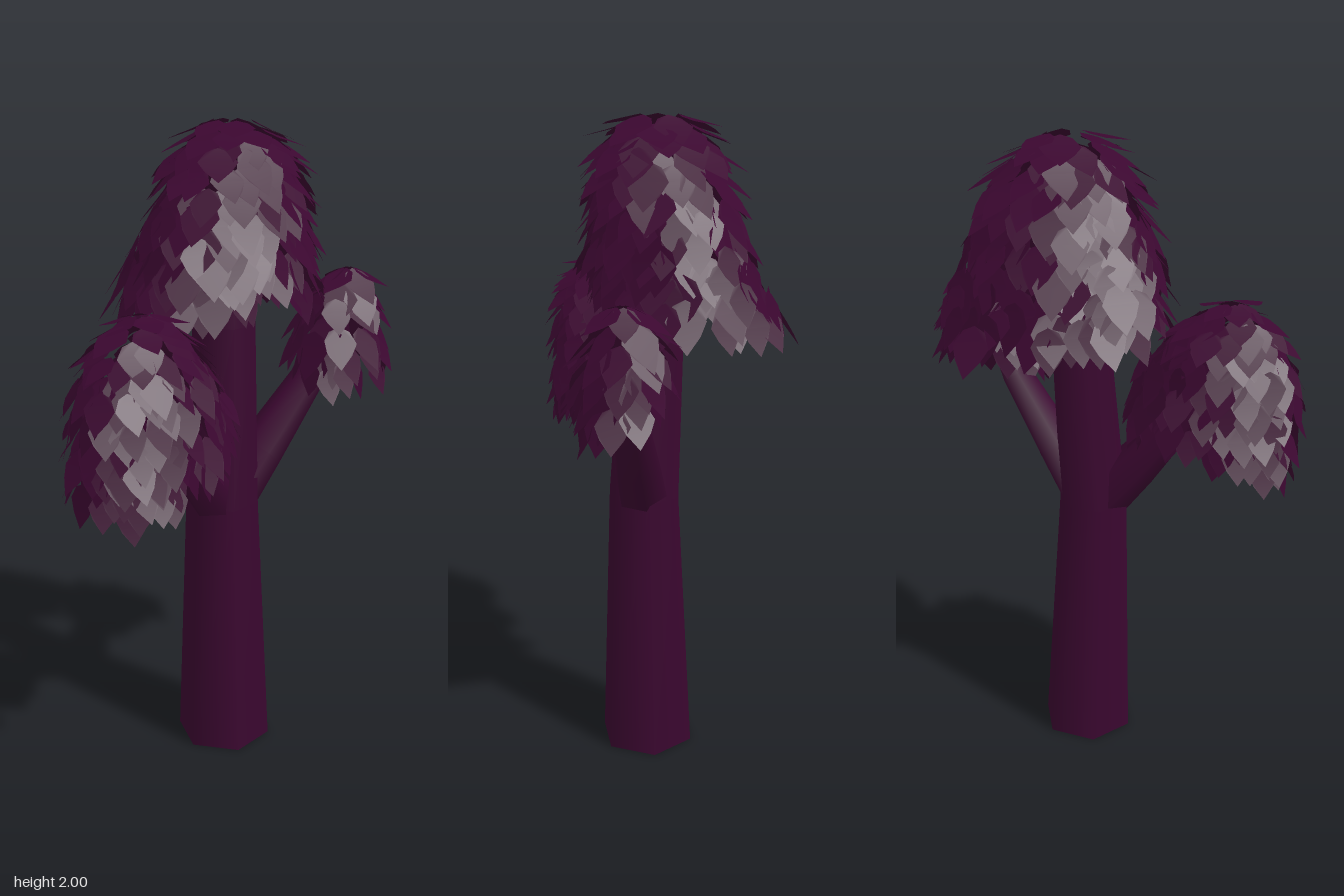
import * as THREE from 'three';
import { mergeGeometries } from 'three/addons/utils/BufferGeometryUtils.js';

const UP = new THREE.Vector3(0, 1, 0);
const COLOR = 0x3b0730;

// Small seeded random in -1..1
let seed = 7;
function rnd() {
  seed = (seed * 16807) % 2147483647;
  return (seed / 2147483647) * 2 - 1;
}

// Tapered six-sided limb through points [x, y, z, radius]
function limb(name, points, upright, material) {
  const n = points.length - 1;
  const geo = new THREE.CylinderGeometry(1, 1, n, 6, n, false, Math.PI / 2);
  const centres = points.map(p => new THREE.Vector3(p[0], p[1], p[2]));
  const turns = centres.map((c, i) => {
    const dir = centres[Math.min(i + 1, n)].clone().sub(centres[Math.max(i - 1, 0)]).normalize();
    return new THREE.Quaternion().setFromUnitVectors(UP, upright ? UP : dir);
  });
  const { position, normal } = geo.attributes;
  const v = new THREE.Vector3();
  for (let i = 0; i < position.count; i++) {
    v.fromBufferAttribute(position, i);
    const k = Math.round(v.y + n / 2);
    v.set(v.x, 0, v.z).multiplyScalar(points[k][3]).applyQuaternion(turns[k]).add(centres[k]);
    position.setXYZ(i, v.x, v.y, v.z);
    v.fromBufferAttribute(normal, i).applyQuaternion(turns[k]);
    normal.setXYZ(i, v.x, v.y, v.z);
  }
  const mesh = new THREE.Mesh(geo, material);
  mesh.name = name;
  return mesh;
}

// Pointed leaf of length 1 along +y, folded a little along its midrib
function leafGeometry() {
  const outline = [[0, 0], [0.22, 0.1], [0.37, 0.38], [0.25, 0.66], [0, 1],
    [-0.25, 0.66], [-0.37, 0.38], [-0.22, 0.1]];
  const geo = new THREE.ShapeGeometry(new THREE.Shape(outline.map(p => new THREE.Vector2(...p))));
  const pos = geo.attributes.position;
  for (let i = 0; i < pos.count; i++) {
    pos.setZ(i, -0.12 * Math.abs(pos.getX(i)) - 0.08 * pos.getY(i) ** 2);
  }
  geo.computeVertexNormals();
  return geo;
}

// Dome of drooping leaves laid in overlapping rings, squarer towards the bottom.
// Profile rows: [y, centre x, centre z, radius x, radius z, droop in degrees]
function canopy(name, { profile, rings, length, slopeX = 0, slopeZ = 0 }, material) {
  const leaf = leafGeometry();
  const leaves = [];
  const out = new THREE.Vector3(), dir = new THREE.Vector3();
  const normal = new THREE.Vector3(), side = new THREE.Vector3();
  const matrix = new THREE.Matrix4();
  for (let ring = 0; ring < rings; ring++) {
    const t = ring / (rings - 1);
    const squared = a => Math.sign(a) * Math.abs(a) ** (1 - 0.25 * t);
    const f = t * (profile.length - 1);
    const k = Math.min(Math.floor(f), profile.length - 2);
    const [y, cx, cz, rx, rz, droop] = profile[k].map((a, i) => THREE.MathUtils.lerp(a, profile[k + 1][i], f - k));
    const count = Math.max(6, Math.round(Math.PI * (rx + rz) / (length * 0.38)));
    for (let j = 0; j < count; j++) {
      const angle = (j + 0.5 * (ring % 2) + 0.3 * rnd()) / count * Math.PI * 2;
      const c = squared(Math.cos(angle)), s = squared(Math.sin(angle));
      const tilt = THREE.MathUtils.degToRad(droop + 11 * rnd());
      out.set(c / rx, 0, s / rz).normalize().applyAxisAngle(UP, 0.35 * rnd());
      dir.copy(out).multiplyScalar(Math.cos(tilt)).addScaledVector(UP, -Math.sin(tilt));
      normal.copy(out).multiplyScalar(Math.sin(tilt)).addScaledVector(UP, Math.cos(tilt));
      side.crossVectors(dir, normal);
      const spread = 1 + 0.07 * rnd();
      const dx = c * rx * spread, dz = s * rz * spread;
      matrix.makeBasis(side, dir, normal);
      matrix.scale(new THREE.Vector3(1, 1, 1).multiplyScalar(length * (1 + 0.15 * rnd())));
      matrix.setPosition(cx + dx, y + t * (slopeX * dx + slopeZ * dz + 0.025 * rnd()), cz + dz);
      leaves.push(leaf.clone().applyMatrix4(matrix));
    }
  }
  const mesh = new THREE.Mesh(mergeGeometries(leaves), material);
  mesh.name = name;
  return mesh;
}

export function createModel() {
  const tree = new THREE.Group();
  tree.name = 'tree';
  const bark = new THREE.MeshStandardMaterial({ color: COLOR });
  const foliage = new THREE.MeshStandardMaterial({ color: COLOR, side: THREE.DoubleSide });

  // Trunk and its two branches
  tree.add(
    limb('trunk', [[0.045, 0, 0.066, 0.152], [0.025, 0.84, 0.07, 0.115],
      [0.057, 1.4, 0.045, 0.098], [0.065, 1.62, 0.03, 0.085]], true, bark),
    limb('leftBranch', [[0.04, 0.83, 0.075, 0.085], [0.16, 0.98, 0.11, 0.075],
      [0.33, 1.19, 0.16, 0.055], [0.48, 1.48, 0.2, 0.03]], false, bark),
    limb('rightBranch', [[0.01, 0.83, 0.075, 0.085], [-0.11, 0.97, 0.085, 0.075],
      [-0.25, 1.14, 0.11, 0.055], [-0.37, 1.36, 0.14, 0.03]], false, bark),
  );

  // Main crown
  tree.add(canopy('crownLeaves', {
    rings: 12, length: 0.145, slopeX: -0.04, slopeZ: 0.1,
    profile: [
      [1.995, 0.1, 0.035, 0.05, 0.06, 14],
      [1.93, 0.1, 0.035, 0.14, 0.125, 36],
      [1.8, 0.1, 0.025, 0.215, 0.16, 52],
      [1.65, 0.105, 0, 0.27, 0.195, 60],
      [1.53, 0.115, -0.04, 0.29, 0.225, 63],
    ],
  }, foliage));

  // Small canopy on the left branch, open towards the back
  tree.add(canopy('leftLeaves', {
    rings: 6, length: 0.14, slopeZ: -0.7,
    profile: [
      [1.53, 0.48, 0.2, 0.015, 0.015, 30],
      [1.47, 0.47, 0.2, 0.08, 0.06, 46],
      [1.38, 0.44, 0.2, 0.13, 0.09, 60],
      [1.31, 0.43, 0.2, 0.145, 0.09, 66],
    ],
  }, foliage));

  // Wide canopy on the right branch, rising and spreading towards the trunk
  tree.add(canopy('rightLeaves', {
    rings: 11, length: 0.12, slopeX: 0.22, slopeZ: -0.2,
    profile: [
      [1.515, -0.39, 0.14, 0.02, 0.02, 16],
      [1.46, -0.39, 0.14, 0.12, 0.09, 36],
      [1.36, -0.38, 0.14, 0.19, 0.13, 57],
      [1.23, -0.345, 0.125, 0.235, 0.155, 66],
      [1.12, -0.35, 0.13, 0.22, 0.15, 70],
    ],
  }, foliage));
  return tree;
}
